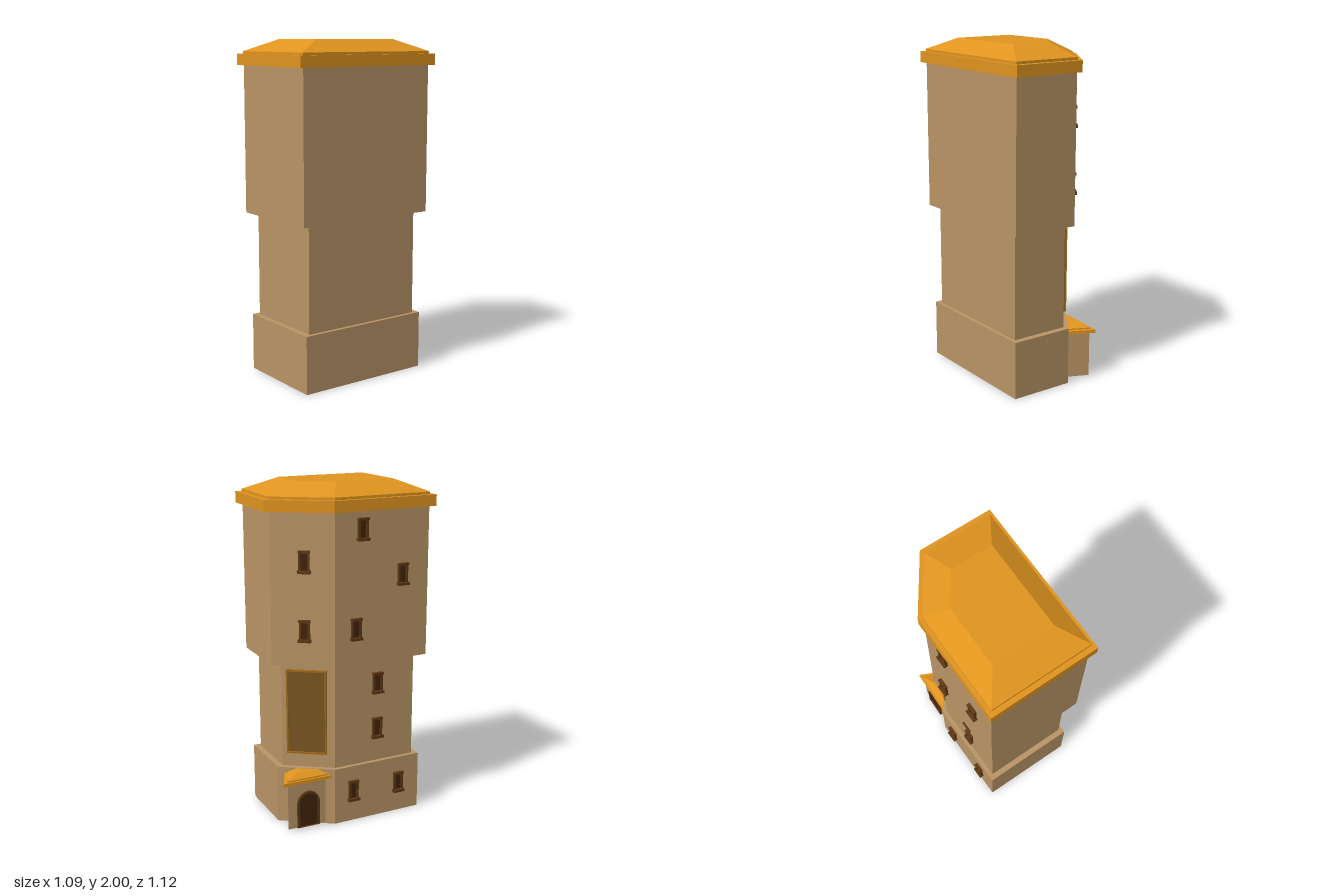
import * as THREE from 'three';

const mat = (color) => new THREE.MeshStandardMaterial({ color, flatShading: true, roughness: 0.9 });
const WALL = mat(0xb99466), ROOF = mat(0xe0941f), FRAME = mat(0x5e3815);
const PANE = mat(0x40240c), PANEL = mat(0x7a5520), TRIM = mat(0xa06c18);

// Five-sided plan (x, z): a rectangle with one corner cut off
const PLAN = [[-0.013, 0.518], [0.507, -0.208], [0.181, -0.452], [-0.161, -0.331], [-0.508, 0.162]];
const BASE = 0.942, MID = 0.863, UPPER = 1;

function mesh(name, geometry, material, parent) {
  const m = new THREE.Mesh(geometry, material);
  m.name = name;
  parent.add(m);
  return m;
}

// Solid through rings of [scale, y], each a copy of the plan scaled about a centre
function loft(plan, rings, [cx, cz] = [0, 0]) {
  const pos = [], n = plan.length;
  const at = ([s, y], i) => [cx + (plan[i % n][0] - cx) * s, y, cz + (plan[i % n][1] - cz) * s];
  const tri = (...corners) => corners.forEach((c) => pos.push(...c));
  for (let r = 0; r < rings.length - 1; r++) {
    const lo = rings[r], hi = rings[r + 1];
    for (let i = 0; i < n; i++) {
      tri(at(lo, i), at(lo, i + 1), at(hi, i + 1));
      tri(at(lo, i), at(hi, i + 1), at(hi, i));
    }
  }
  const bottom = rings[0], top = rings[rings.length - 1];
  for (let i = 1; i < n - 1; i++) {
    tri(at(top, 0), at(top, i), at(top, i + 1));
    tri(at(bottom, 0), at(bottom, i + 1), at(bottom, i));
  }
  const g = new THREE.BufferGeometry();
  g.setAttribute('position', new THREE.Float32BufferAttribute(pos, 3));
  g.computeVertexNormals();
  return g;
}

// Put an object on the wall that runs from corner p to corner q, its +z facing out
function placeOnWall(obj, p, q, t, y, scale = 1) {
  const dx = q[0] - p[0], dz = q[1] - p[1];
  obj.position.set((p[0] + dx * t) * scale, y, (p[1] + dz * t) * scale);
  obj.rotation.y = Math.atan2(-dz, dx);
}

function box(name, w, h, d, x, y, z, material, parent) {
  mesh(name, new THREE.BoxGeometry(w, h, d), material, parent).position.set(x, y, z);
}

// Window: recessed pane, two jambs, lintel and sill
function makeWindow() {
  const g = new THREE.Group();
  g.name = 'window';
  box('pane', 0.05, 0.1, 0.008, 0, 0, 0.002, PANE, g);
  for (const s of [-1, 1]) box('jamb', 0.012, 0.1, 0.02, s * 0.025, 0, 0.005, FRAME, g);
  box('lintel', 0.066, 0.014, 0.026, 0, 0.055, 0.008, FRAME, g);
  box('sill', 0.074, 0.016, 0.032, 0, -0.057, 0.01, FRAME, g);
  return g;
}

// Large framed board
function makePanel(w, h) {
  const g = new THREE.Group();
  g.name = 'wallPanel';
  box('board', w, h, 0.01, 0, 0, 0.003, PANEL, g);
  for (const s of [-1, 1]) {
    box('panelSide', 0.01, h, 0.022, s * (w / 2 - 0.005), 0, 0.006, TRIM, g);
    box('panelRail', w, 0.01, 0.022, 0, s * (h / 2 - 0.005), 0.006, TRIM, g);
  }
  return g;
}

function archPoints(half, height) {
  const pts = [new THREE.Vector2(-half, 0), new THREE.Vector2(half, 0)];
  for (let i = 0; i <= 10; i++) {
    const a = (i / 10) * Math.PI;
    pts.push(new THREE.Vector2(half * Math.cos(a), height - half + half * Math.sin(a)));
  }
  return pts;
}

// Arched door with a surround
function makeDoor() {
  const g = new THREE.Group();
  g.name = 'door';
  const surround = new THREE.Shape(archPoints(0.07, 0.22));
  surround.holes.push(new THREE.Path(archPoints(0.057, 0.207).map((p) => p.setY(p.y + 0.002))));
  const extrude = (shape, depth) => new THREE.ExtrudeGeometry(shape, { depth, bevelEnabled: false });
  mesh('doorSurround', extrude(surround, 0.014), FRAME, g);
  mesh('doorLeaf', extrude(new THREE.Shape(archPoints(0.06, 0.21)), 0.005), PANE, g);
  return g;
}

export function createModel() {
  const model = new THREE.Group();
  model.name = 'tower';

  // Three stacked storeys
  mesh('baseStorey', loft(PLAN, [[BASE, 0], [BASE, 0.345]]), WALL, model);
  mesh('middleStorey', loft(PLAN, [[MID, 0.34], [MID, 0.98]]), WALL, model);
  mesh('upperStorey', loft(PLAN, [[UPPER, 0.975], [UPPER, 1.855]]), WALL, model);

  // Eaves slab and hipped roof with a flat top
  mesh('eaves', loft(PLAN, [[1.075, 1.85], [1.075, 1.915]]), ROOF, model);
  mesh('roof', loft(PLAN, [[1.005, 1.91], [1.005, 1.93], [0.61, 2]]), ROOF, model);

  // Windows: [first corner of wall, position along it, height, storey scale]
  const windows = [
    [2, 0.53, 1.577, UPPER], [2, 0.53, 1.185, UPPER],
    [3, 0.285, 1.75, UPPER], [3, 0.715, 1.476, UPPER], [3, 0.22, 1.186, UPPER],
    [3, 0.53, 0.833, MID], [3, 0.53, 0.554, MID],
    [3, 0.21, 0.195, BASE], [3, 0.75, 0.19, BASE],
  ];
  for (const [i, t, y, scale] of windows) {
    const w = makeWindow();
    placeOnWall(w, PLAN[i], PLAN[(i + 1) % 5], t, y, scale);
    model.add(w);
  }

  // Framed board on the cut corner of the middle storey
  const panel = makePanel(0.235, 0.51);
  placeOnWall(panel, PLAN[2], PLAN[3], 0.47, 0.685, MID);
  model.add(panel);

  // Three-cornered porch against the cut corner of the base
  const porch = new THREE.Group();
  porch.name = 'porch';
  const walls = [[0.045, -0.522], [-0.1, -0.328], [0.109, -0.402]];
  const cover = [[0.05, -0.56], [-0.133, -0.316], [0.132, -0.41]];
  const centre = [0, -0.363];
  mesh('porchWalls', loft(walls, [[1, 0.01], [1, 0.295]]), WALL, porch);
  mesh('porchEaves', loft(cover, [[1, 0.29], [1, 0.31]]), ROOF, porch);
  mesh('porchRoof', loft(cover, [[0.86, 0.305], [0.86, 0.318], [0.45, 0.343]], centre), ROOF, porch);
  const door = makeDoor();
  placeOnWall(door, walls[0], walls[1], 0.52, 0.012);
  porch.add(door);
  model.add(porch);

  return model;
}
